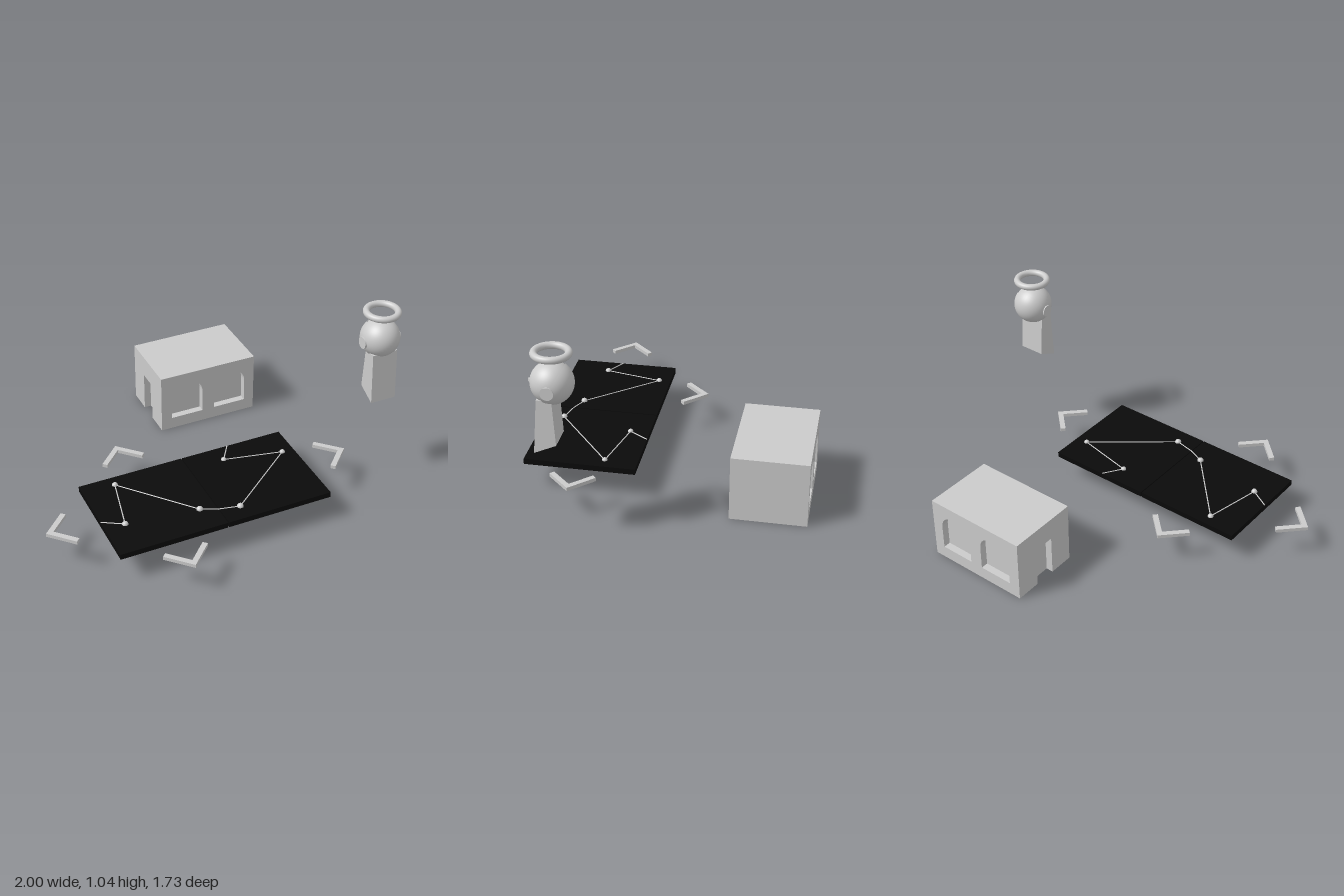
import * as THREE from 'three';

export function createModel() {
  const root = new THREE.Group();
  const grey = new THREE.MeshStandardMaterial({ color: 0xcccccc });
  const thin = new THREE.MeshStandardMaterial({ color: 0xcccccc, side: THREE.DoubleSide });
  const black = new THREE.MeshStandardMaterial({ color: 0x0a0a0a });

  const add = (parent, name, geometry, x, y, z, material = grey) => {
    const mesh = new THREE.Mesh(geometry, material);
    mesh.name = name;
    mesh.position.set(x, y, z);
    parent.add(mesh);
    return mesh;
  };
  const group = (name) => {
    const g = new THREE.Group();
    g.name = name;
    root.add(g);
    return g;
  };
  const polygon = (points) => new THREE.Shape(points.map(([x, y]) => new THREE.Vector2(x, y)));
  const extrude = (shape, depth) =>
    new THREE.ExtrudeGeometry(shape, { depth, bevelEnabled: false, curveSegments: 10 });
  // Extrudes a (z, y) profile along x; the result spans -depth..0
  const extrudeSide = (points, depth) => extrude(polygon(points), depth).rotateY(-Math.PI / 2);

  // Building: solid core with recessed arched windows and a doorway
  const building = group('building');
  const X0 = -0.02, X1 = 0.57, Z0 = -0.87, Z1 = -0.47, H = 0.355, D = 0.04;
  add(building, 'core', new THREE.BoxGeometry(X1 - X0 - D, H, Z1 - Z0 - 2 * D),
    (X0 + X1 + D) / 2, H / 2, (Z0 + Z1) / 2);

  const wall = polygon([[X0, 0], [X1, 0], [X1, H], [X0, H]]);
  for (const x of [0.045, 0.315]) {
    const w = 0.195, low = 0.07, spring = 0.2, top = 0.29;
    const arch = new THREE.Path();
    arch.moveTo(x, low);
    arch.lineTo(x, spring);
    arch.quadraticCurveTo(x, top, x + w / 2, top);
    arch.quadraticCurveTo(x + w, top, x + w, spring);
    arch.lineTo(x + w, low);
    arch.closePath();
    wall.holes.push(arch);
  }
  const wallGeometry = extrude(wall, D);
  add(building, 'frontWall', wallGeometry, 0, 0, Z1 - D);
  add(building, 'backWall', wallGeometry, 0, 0, Z0);
  add(building, 'doorWall', extrudeSide([
    [Z0 + D, 0], [-0.73, 0], [-0.73, 0.23], [-0.61, 0.23],
    [-0.61, 0], [Z1 - D, 0], [Z1 - D, H], [Z0 + D, H],
  ], D), X0 + D, 0, 0);

  // Two dark floor panels with a hairline gap
  const board = group('board');
  const panel = new THREE.BoxGeometry(0.592, 0.031, 0.595);
  add(board, 'leftPanel', panel, 0.179, 0.16, 0.3325, black);
  add(board, 'rightPanel', panel, -0.419, 0.16, 0.3325, black);

  // Dots joined by a thin zigzag line: x, z, dot radius (0 = no dot)
  const trail = group('trail');
  const stops = [
    [-0.715, 0.355, 0], [-0.605, 0.42, 0.017], [-0.535, 0.1, 0.016], [-0.21, 0.47, 0.018],
    [-0.12, 0.51, 0], [-0.008, 0.535, 0.018], [0.407, 0.21, 0.015], [0.085, 0.14, 0.015],
    [0.155, 0.035, 0],
  ];
  const trailY = 0.175;
  stops.forEach(([x, z, r], i) => {
    if (r) add(trail, 'dot', new THREE.SphereGeometry(r, 20, 14), x, trailY, z);
    if (i === 0) return;
    const a = new THREE.Vector3(stops[i - 1][0], trailY, stops[i - 1][1]);
    const b = new THREE.Vector3(x, trailY, z);
    const line = new THREE.LineCurve3(a, b);
    add(trail, 'line', new THREE.TubeGeometry(line, 1, 0.0035, 8), 0, 0, 0);
  });

  // Chevrons pointing outward on all four sides
  const chevron = extrude(polygon([
    [0, 0], [-0.122, -0.122], [-0.102, -0.142], [0, -0.04], [0.102, -0.142], [0.122, -0.122],
  ]), 0.02).rotateX(Math.PI / 2);
  const arrows = group('arrows');
  for (const [name, x, z, turn] of [
    ['rightArrow', -1, 0.333, -0.5], ['leftArrow', 0.725, 0.333, 0.5],
    ['backArrow', -0.41, -0.21, 1], ['frontArrow', -0.41, 0.86, 0],
  ]) add(arrows, name, chevron, x, 0.184, z).rotation.y = turn * Math.PI;

  // Floating figure: slanted body, round head, ears, hair shell and ring
  const figure = group('figure');
  const cx = 0.89, cy = 0.867, cz = 0.34;
  add(figure, 'body', extrudeSide([
    [0.42, 0.515], [0.4, 0.8], [0.325, 0.8], [0.31, 0.565],
  ], 0.146), cx + 0.073, 0, 0);
  add(figure, 'head', new THREE.SphereGeometry(0.104, 40, 28), cx, cy, cz);
  const ear = new THREE.CylinderGeometry(0.033, 0.033, 0.03, 28).rotateZ(Math.PI / 2);
  for (const s of [-1, 1]) add(figure, 'ear', ear, cx + s * 0.093, cy - 0.012, cz - 0.003);
  const hair = new THREE.SphereGeometry(0.107, 40, 16, 0, Math.PI * 2, 0, Math.PI * 0.48);
  add(figure, 'hair', hair, cx, cy - 0.001, cz - 0.002, thin)
    .quaternion.setFromUnitVectors(new THREE.Vector3(0, 1, 0), new THREE.Vector3(0, -0.5, -0.866).normalize());
  add(figure, 'ring', new THREE.TorusGeometry(0.083, 0.018, 16, 48).rotateX(Math.PI / 2), cx, 1.018, cz - 0.003);

  return root;
}
